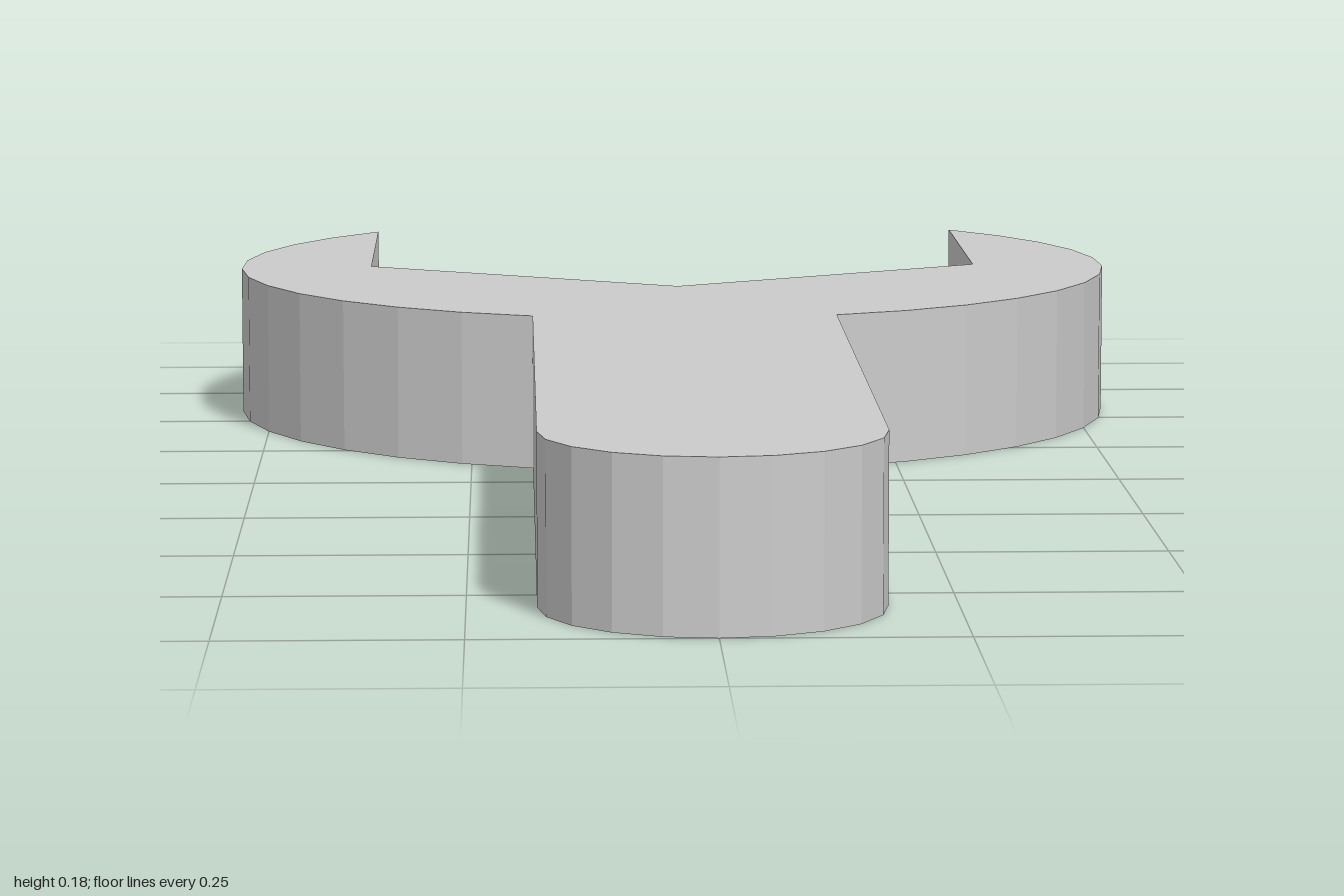
import * as THREE from 'three';

const THICKNESS = 0.18;
const HANDLE_HALF = 0.178;
const JAW_HALF = 0.378;
const HEAD_RADIUS = 0.54;
const HEAD_Z = -0.615;

// Points along an arc; angles measured from +z towards +x
function arc(cz, radius, from, to, segments) {
  return Array.from({ length: segments + 1 }, (_, i) => {
    const a = from + ((to - from) * i) / segments;
    return new THREE.Vector2(radius * Math.sin(a), cz + radius * Math.cos(a));
  });
}

export function createModel() {
  const group = new THREE.Group();
  group.name = 'openEndWrench';

  // Right half of the outline: rounded handle end, head arc, then jaw opening
  const neckAngle = Math.asin(HANDLE_HALF / HEAD_RADIUS);
  const tipAngle = Math.PI - Math.asin(JAW_HALF / HEAD_RADIUS);
  const half = [
    ...arc(1 - HANDLE_HALF, HANDLE_HALF, 0, Math.PI / 2, 5),
    ...arc(HEAD_Z, HEAD_RADIUS, neckAngle, tipAngle, 12),
    new THREE.Vector2(JAW_HALF, -0.608),
    new THREE.Vector2(0, -0.39),
  ];

  // Mirror across x = 0, skipping the two points on the axis
  const mirrored = half.slice(1, -1).reverse().map((p) => new THREE.Vector2(-p.x, p.y));
  const outline = new THREE.Shape([...half, ...mirrored]);

  // Flat slab with sharp edges, laid down on the ground
  const geometry = new THREE.ExtrudeGeometry(outline, { depth: THICKNESS, bevelEnabled: false });
  geometry.rotateX(Math.PI / 2);
  geometry.translate(0, THICKNESS, 0);

  const body = new THREE.Mesh(
    geometry,
    new THREE.MeshStandardMaterial({ color: 0xcccccc, flatShading: true })
  );
  body.name = 'wrenchBody';
  group.add(body);
  return group;
}
